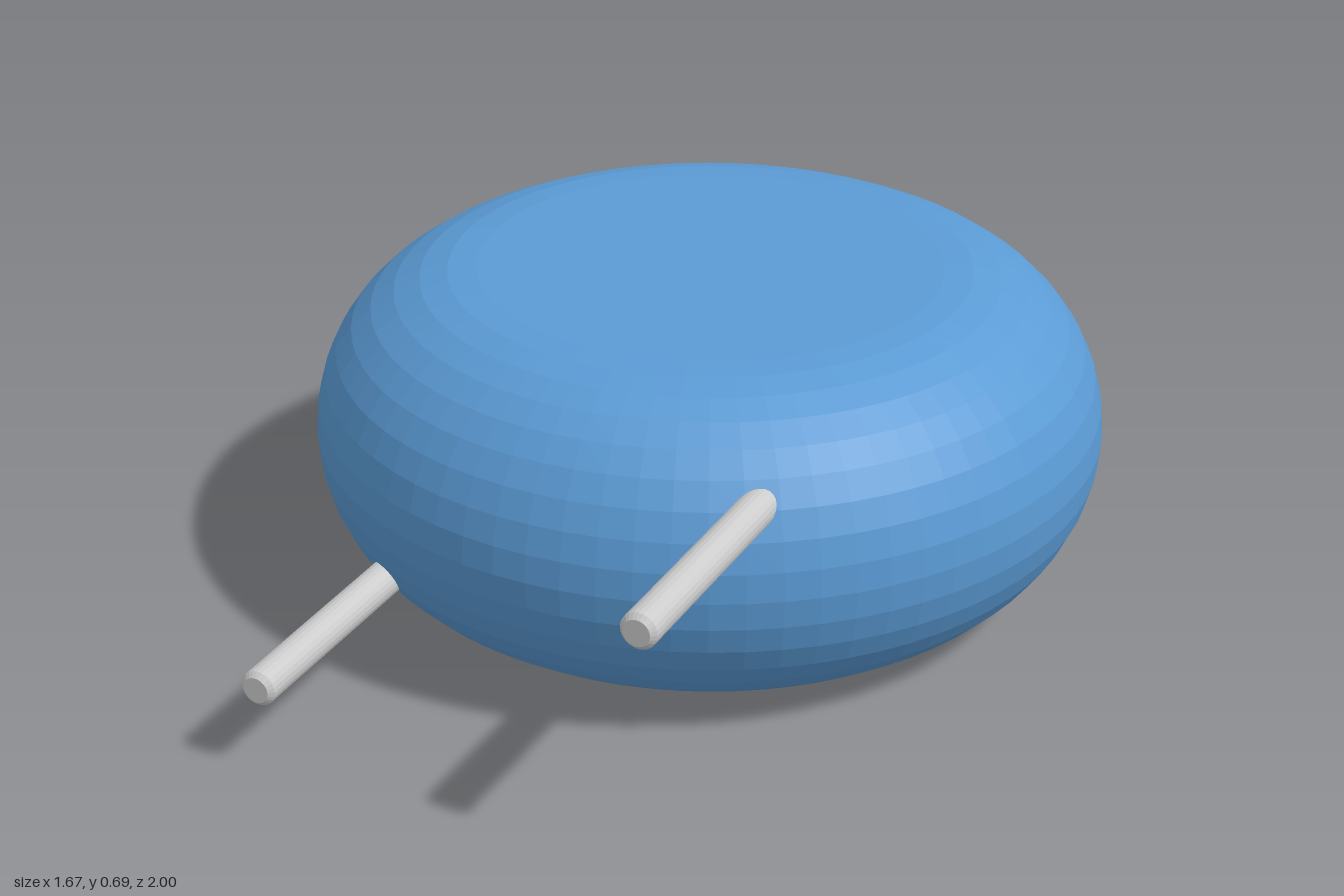
import * as THREE from 'three';

const HEIGHT = 0.69, RADIUS = 0.833, BODY_Z = -0.167;
const PIN_RADIUS = 0.037, PIN_BACK = 0.3, PIN_FRONT = 1, BEVEL = 0.01;

// Flat-topped disc with a fully rounded rim
function createBody() {
  const round = HEIGHT / 2, flat = RADIUS - round, steps = 18;
  const profile = [new THREE.Vector2(0, 0)];
  for (let i = 0; i <= steps; i++) {
    const a = -Math.PI / 2 + (Math.PI * i) / steps;
    profile.push(new THREE.Vector2(flat + round * Math.cos(a), round + round * Math.sin(a)));
  }
  profile.push(new THREE.Vector2(0, HEIGHT));
  const body = new THREE.Mesh(
    new THREE.LatheGeometry(profile, 72),
    new THREE.MeshStandardMaterial({ color: 0x5b9bd5, flatShading: true })
  );
  body.name = 'roundedBody';
  body.position.z = BODY_Z;
  return body;
}

// Straight lead with a small bevel at its free end, running forward along z
function createLead(name, x, y) {
  const length = PIN_FRONT - PIN_BACK;
  const profile = [
    [0, 0], [PIN_RADIUS, 0], [PIN_RADIUS, length - BEVEL],
    [PIN_RADIUS - BEVEL, length], [0, length],
  ].map(([r, h]) => new THREE.Vector2(r, h));
  const lead = new THREE.Mesh(
    new THREE.LatheGeometry(profile, 24).rotateX(Math.PI / 2),
    new THREE.MeshStandardMaterial({ color: 0xcccccc, flatShading: true })
  );
  lead.name = name;
  lead.position.set(x, y, PIN_BACK);
  return lead;
}

export function createModel() {
  const model = new THREE.Group();
  model.name = 'discComponent';
  model.add(
    createBody(),
    createLead('leftLead', 0.405, 0.516),
    createLead('rightLead', -0.405, 0.182)
  );
  return model;
}
